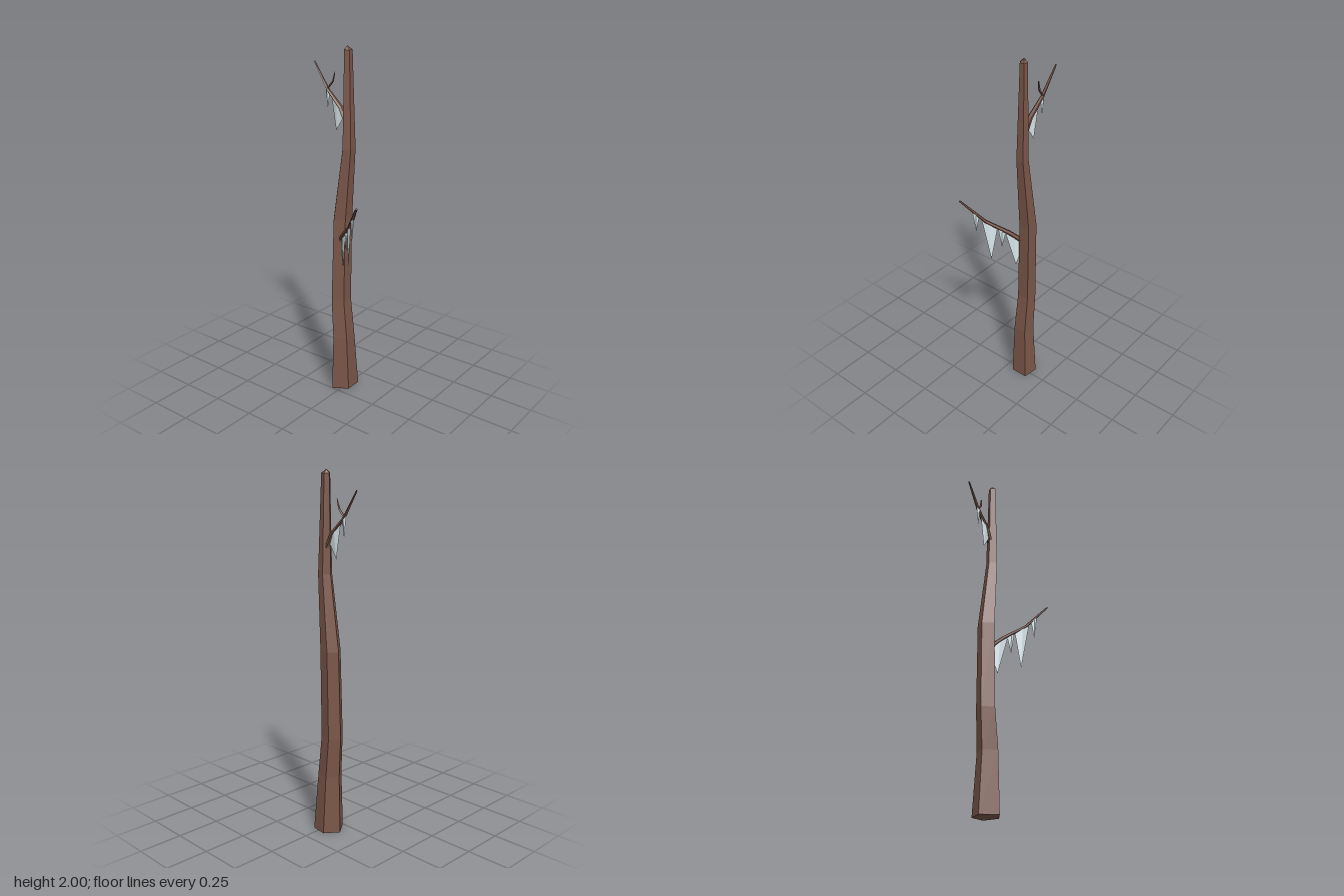
import * as THREE from 'three';

const bark = new THREE.MeshStandardMaterial({ color: 0x795548, flatShading: true });
const ice = new THREE.MeshStandardMaterial({ color: 0xdcebf0, flatShading: true, side: THREE.DoubleSide });
const V = (x, y, z) => new THREE.Vector3(x, y, z);

// Joins rings of points into a closed skin, with a point at each end
function loft(name, rings, start, end, material) {
  const pos = [];
  const tri = (...pts) => pts.forEach((p) => pos.push(p.x, p.y, p.z));
  const n = rings[0].length;
  for (let j = 0; j < n; j++) {
    const k = (j + 1) % n;
    tri(start, rings[0][k], rings[0][j]);
    for (let i = 0; i < rings.length - 1; i++) {
      const a = rings[i], b = rings[i + 1];
      tri(a[j], a[k], b[k]);
      tri(a[j], b[k], b[j]);
    }
    const last = rings[rings.length - 1];
    tri(last[j], last[k], end);
  }
  const geo = new THREE.BufferGeometry();
  geo.setAttribute('position', new THREE.Float32BufferAttribute(pos, 3));
  geo.computeVertexNormals();
  const mesh = new THREE.Mesh(geo, material);
  mesh.name = name;
  return mesh;
}

// Tapered limb along a path, wider than it is tall
function limb(name, path, radii, sides = 5, flat = 0.65) {
  const rings = path.map((p, i) => {
    const t = path[Math.min(i + 1, path.length - 1)].clone().sub(path[Math.max(i - 1, 0)]).normalize();
    const u = V(0, 1, 0).cross(t).normalize();
    const v = t.clone().cross(u);
    return Array.from({ length: sides }, (_, s) => {
      const a = (s / sides) * Math.PI * 2;
      return p.clone().addScaledVector(u, Math.cos(a) * radii[i]).addScaledVector(v, Math.sin(a) * radii[i] * flat);
    });
  });
  return loft(name, rings, path[0], path[path.length - 1], bark);
}

// Point on a path at a given x
function atX(path, x) {
  for (let i = 0; i < path.length - 1; i++) {
    const f = (x - path[i].x) / (path[i + 1].x - path[i].x);
    if (f <= 1 || i === path.length - 2) return path[i].clone().lerp(path[i + 1], f);
  }
}

// Thin four-sided spike hanging from a stretch of a limb
function icicle(path, [x0, x1, tipX, tipY]) {
  const a = atX(path, x0), b = atX(path, x1), mid = atX(path, (x0 + x1) / 2);
  const tip = atX(path, tipX).setY(tipY);
  const side = b.clone().sub(a).cross(V(0, 1, 0)).setLength(0.009);
  const ring = [a, mid.clone().sub(side), b, mid.clone().add(side)];
  return loft('icicle', [ring], mid, tip, ice);
}

export function createModel() {
  const model = new THREE.Group();
  model.name = 'icyBareTree';

  // Trunk: one uneven pentagon, shifted and scaled up the height
  const section = [[0.063, 0.037], [0.063, -0.059], [-0.025, -0.071], [-0.082, 0.004], [-0.02, 0.089]];
  const levels = [ // y, centre x, centre z, scale
    [0, -0.023, -0.089, 1], [0.33, -0.026, -0.081, 0.79], [0.56, -0.046, -0.083, 0.71],
    [1.05, -0.04, -0.089, 0.66], [1.46, 0.006, -0.084, 0.45], [1.98, 0.001, -0.083, 0.28],
  ];
  const rings = levels.map(([y, cx, cz, s]) => section.map(([x, z]) => V(cx + x * s, y, cz + z * s)));
  model.add(loft('trunk', rings, V(-0.023, 0, -0.089), V(-0.002, 2, -0.082), bark));

  // Lower branch, reaching forward and to the left
  const lower = [V(-0.035, 0.88, -0.075), V(-0.015, 0.94, -0.058), V(0.03, 0.99, -0.02),
    V(0.13, 1.08, 0.066), V(0.235, 1.225, 0.152)];
  model.add(limb('lowerBranch', lower, [0.018, 0.02, 0.018, 0.013, 0.007]));

  // Upper branch with a small twig
  const upper = [V(-0.005, 1.59, -0.085), V(-0.05, 1.675, -0.087), V(-0.14, 1.76, -0.093), V(-0.236, 1.9, -0.101)];
  model.add(limb('upperBranch', upper, [0.017, 0.016, 0.011, 0.005]));
  const twig = [V(-0.145, 1.76, -0.093), V(-0.108, 1.805, -0.097), V(-0.097, 1.855, -0.1)];
  model.add(limb('twig', twig, [0.008, 0.007, 0.003]));

  // Icicles: first x, last x, tip x, tip y
  const icicles = new THREE.Group();
  icicles.name = 'icicles';
  [[-0.028, 0.052, 0.003, 0.77], [0.045, 0.08, 0.063, 0.9], [0.08, 0.148, 0.108, 0.825], [0.156, 0.186, 0.17, 1.02]]
    .forEach((d) => icicles.add(icicle(lower, d)));
  [[-0.115, -0.025, -0.08, 1.545], [-0.158, -0.125, -0.14, 1.655]]
    .forEach((d) => icicles.add(icicle(upper, [d[1], d[0], d[2], d[3]])));
  model.add(icicles);
  return model;
}
